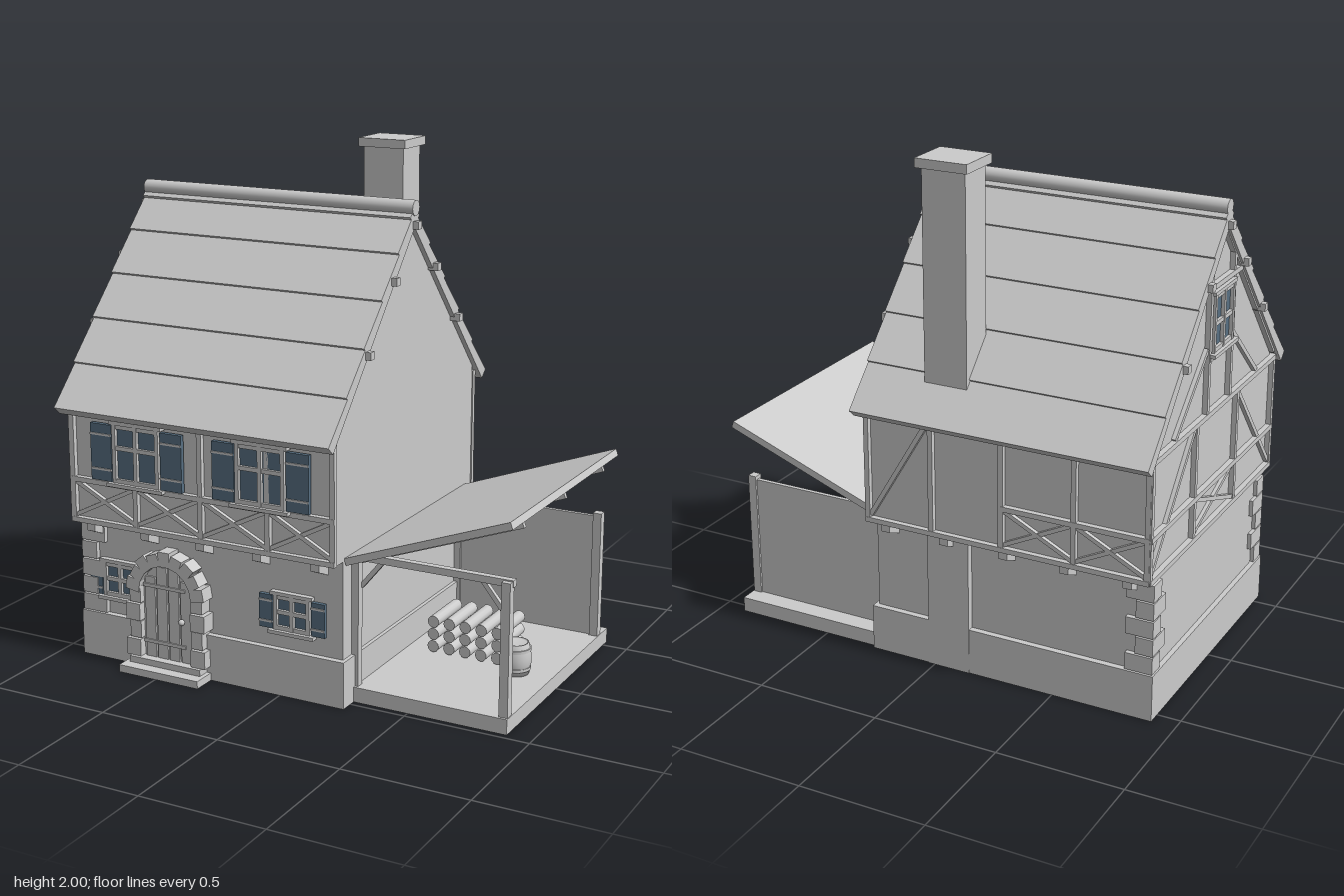
import * as THREE from 'three';

const plaster = new THREE.MeshStandardMaterial({ color: 0xcccccc });
plaster.name = 'pale grey';
const blue = new THREE.MeshStandardMaterial({ color: 0x587083 });
blue.name = 'slate blue';

function add(parent, name, geo, mat = plaster) {
  const m = new THREE.Mesh(geo, mat);
  m.name = name;
  parent.add(m);
  return m;
}
function group(parent, name) {
  const g = new THREE.Group();
  g.name = name;
  parent.add(g);
  return g;
}
// Box given by its limits on each axis
function box(parent, name, x0, x1, y0, y1, z0, z1, mat) {
  const m = add(parent, name, new THREE.BoxGeometry(x1 - x0, y1 - y0, z1 - z0), mat);
  m.position.set((x0 + x1) / 2, (y0 + y1) / 2, (z0 + z1) / 2);
  return m;
}
// Bar between two points in a plane of constant z
function bar(parent, name, x0, y0, x1, y1, w, z0, z1) {
  const m = add(parent, name, new THREE.BoxGeometry(Math.hypot(x1 - x0, y1 - y0), w, z1 - z0));
  m.position.set((x0 + x1) / 2, (y0 + y1) / 2, (z0 + z1) / 2);
  m.rotation.z = Math.atan2(y1 - y0, x1 - x0);
  return m;
}
// Profile of (z, y) points swept along x
function sweep(parent, name, pts, x0, x1) {
  const s = new THREE.Shape(pts.map(p => new THREE.Vector2(p[0], p[1])));
  const geo = new THREE.ExtrudeGeometry(s, { depth: x1 - x0, bevelEnabled: false });
  geo.rotateY(-Math.PI / 2).translate(x1, 0, 0);
  return add(parent, name, geo);
}
// Window with frame, crossbars and optional shutters, facing +z
function makeWindow(parent, cx, y0, y1, half, split, shutter, z) {
  const g = group(parent, 'window');
  const f = 0.016;
  box(g, 'glass', cx - half, cx + half, y0, y1, z, z + 0.008, blue);
  for (const s of [-1, 0, 1]) {
    const x = cx + s * (half - f / 2);
    box(g, 'frameUpright', x - f / 2, x + f / 2, y0, y1, z, z + 0.022);
  }
  for (const y of [y0, split, y1 - f]) box(g, 'frameRail', cx - half, cx + half, y, y + f, z, z + 0.02);
  box(g, 'sill', cx - half - 0.02, cx + half + 0.02, y0 - 0.014, y0, z - 0.01, z + 0.035);
  box(g, 'lintel', cx - half - 0.012, cx + half + 0.012, y1, y1 + 0.014, z - 0.01, z + 0.025);
  if (!shutter) return;
  for (const s of [-1, 1]) {
    const x = cx + s * (half + 0.006 + shutter / 2), w = shutter / 2;
    box(g, 'shutter', x - w, x + w, y0, y1 - 0.005, z, z + 0.018, blue);
    for (const t of [0.2, 0.8]) {
      const y = y0 + (y1 - y0) * t;
      box(g, 'shutterStrap', x - w, x + w, y - 0.004, y + 0.004, z + 0.018, z + 0.022);
    }
  }
}
function cross(g, x0, x1) {
  bar(g, 'crossBrace', x0, 0.595, x1, 0.74, 0.016, 0, 0.014);
  bar(g, 'crossBrace', x0, 0.74, x1, 0.595, 0.016, 0, 0.016);
}
function rail(g, y, x0, x1, h = 0.02) {
  box(g, 'rail', x0, x1, y - h / 2, y + h / 2, 0, 0.022);
}
function post(g, x, y0 = 0.57, y1 = 1.05) {
  box(g, 'post', x - 0.01, x + 0.01, y0, y1, 0, 0.02);
}

export function createModel() {
  const root = new THREE.Group();
  root.name = 'house';

  // Stone base, ground floor and jettied upper floor with gables
  box(root, 'stoneBase', -0.905, 0.275, 0, 0.185, -0.555, 0.555);
  box(root, 'groundFloor', -0.885, 0.26, 0.185, 0.57, -0.53, 0.53);
  sweep(root, 'upperFloor', [[-0.585, 0.57], [0.585, 0.57], [0.585, 1.09], [0, 1.755], [-0.585, 1.09]], -0.885, 0.26);
  for (let i = 0; i < 5; i++) {
    const x = -0.815 + i * 0.249;
    for (const s of [-1, 1])
      sweep(root, 'corbel', [[s * 0.52, 0.57], [s * 0.6, 0.57], [s * 0.6, 0.54], [s * 0.52, 0.505]], x - 0.018, x + 0.018);
  }

  // Corner stones
  for (const s of [-1, 1]) for (let i = 0; i < 5; i++) {
    const y = 0.185 + i * 0.073, a = i % 2 ? 0.07 : 0.11, b = i % 2 ? 0.11 : 0.07;
    const z0 = s * 0.55, z1 = s * (0.55 - b);
    box(root, 'cornerStone', -0.9, -0.9 + a, y + 0.003, y + 0.07, Math.min(z0, z1), Math.max(z0, z1));
  }

  // Roof: stepped courses on each side, drawn down the slope
  const L = 1.02, dz = 0.674 / L, dy = 0.765 / L;
  const at = (s, n) => [s * dz + n * dy, 1.805 - s * dy + n * dz];
  const profile = [at(0, -0.05)];
  for (let i = 0; i < 5; i++) profile.push(at(i * L / 5, -0.009), at((i + 1) * L / 5, 0.002));
  profile.push(at(L, -0.045));
  for (const s of [-1, 1]) sweep(root, 'roofCourses', profile.map(p => [p[0] * s, p[1]]), -0.915, 0.28);
  const ridge = add(root, 'ridgeRoll', new THREE.CylinderGeometry(0.03, 0.03, 1.2, 20));
  ridge.rotation.z = Math.PI / 2;
  ridge.position.set(-0.315, 1.804, 0);
  for (const [z, y] of [[0, 1.74], [0.175, 1.555], [-0.175, 1.555], [0.38, 1.318], [-0.38, 1.318]])
    box(root, 'purlin', -0.935, 0.302, y - 0.015, y + 0.015, z - 0.015, z + 0.015);

  // Chimney
  box(root, 'chimney', -0.15, 0.025, 0, 1.967, -0.558, -0.41);
  box(root, 'chimneyCap', -0.168, 0.04, 1.965, 2, -0.58, -0.395);

  // Front timber frame and windows
  const front = group(root, 'frontTimbers');
  front.position.z = 0.585;
  const xs = [-0.89, -0.602, -0.31, -0.018, 0.255];
  xs.forEach(x => post(front, x));
  for (const y of [0.58, 0.745, 1.04]) rail(front, y, -0.9, 0.265);
  for (let i = 0; i < 4; i++) cross(front, xs[i], xs[i + 1]);
  for (const cx of [-0.587, -0.041]) makeWindow(front, cx, 0.76, 0.99, 0.105, 0.89, 0.095, 0.012);
  for (const cx of [-0.725, 0.05]) makeWindow(root, cx, 0.262, 0.4, 0.078, 0.325, 0.057, 0.528);

  // Back timber frame (local x points to -x)
  const back = group(root, 'backTimbers');
  back.position.z = -0.585;
  back.rotation.y = Math.PI;
  xs.forEach(x => post(back, -x));
  for (const y of [0.58, 1.04]) rail(back, y, -0.265, 0.9);
  rail(back, 0.745, 0.31, 0.9);
  cross(back, 0.31, 0.602);
  cross(back, 0.602, 0.89);
  bar(back, 'brace', -0.245, 0.6, 0.01, 1.03, 0.018, 0, 0.016);

  // Timber frame and loft window on the end gable (local x points to +z)
  const gable = group(root, 'gableTimbers');
  gable.position.x = -0.885;
  gable.rotation.y = -Math.PI / 2;
  for (const x of [-0.593, -0.2, 0.2, 0.593]) post(gable, x);
  for (const y of [0.58, 0.745, 1.04]) rail(gable, y, -0.6, 0.6);
  cross(gable, -0.2, 0.2);
  for (const s of [-1, 1]) {
    bar(gable, 'brace', s * 0.585, 0.6, s * 0.21, 1.03, 0.018, 0, 0.016);
    bar(gable, 'rakeBeam', s * 0.59, 1.07, 0, 1.74, 0.025, 0, 0.02);
    post(gable, s * 0.11, 1.04, 1.61);
    bar(gable, 'brace', s * 0.4, 1.05, s * 0.12, 1.3, 0.018, 0, 0.016);
  }
  rail(gable, 1.53, -0.18, 0.18);
  rail(gable, 1.26, -0.11, 0.11);
  makeWindow(gable, 0, 1.28, 1.5, 0.095, 1.38, 0, 0.006);

  // Front door with arched stone surround and steps
  const door = group(root, 'door');
  door.position.x = -0.487;
  const R = 0.12, cy = 0.325;
  const arch = new THREE.Shape();
  arch.moveTo(-R, 0.05);
  arch.lineTo(R, 0.05);
  arch.lineTo(R, cy);
  arch.absarc(0, cy, R, 0, Math.PI, false);
  add(door, 'doorLeaf', new THREE.ExtrudeGeometry(arch, { depth: 0.04, bevelEnabled: false })).position.z = 0.522;
  for (let i = 0; i < 4; i++) {
    const x = -0.081 + i * 0.054;
    box(door, 'plank', x - 0.023, x + 0.023, 0.055, cy + (i % 3 ? 0.105 : 0.06), 0.56, 0.57);
  }
  for (const y of [0.12, 0.35]) box(door, 'hinge', -0.11, 0.08, y - 0.007, y + 0.007, 0.57, 0.575);
  const knob = add(door, 'knob', new THREE.SphereGeometry(0.013, 12, 8));
  knob.position.set(0.067, 0.225, 0.58);
  for (const s of [-1, 1]) for (let i = 0; i < 4; i++) {
    const y = 0.055 + i * 0.073, w = i % 2 ? 0.05 : 0.064;
    const c = s * (0.115 + w / 2);
    box(door, 'jambStone', c - w / 2, c + w / 2, y + 0.002, y + 0.071, 0.525, i % 2 ? 0.588 : 0.595);
  }
  for (let i = 0; i < 9; i++) {
    const a = (i + 0.5) * Math.PI / 9, r = i % 2 ? 0.143 : 0.147;
    const m = add(door, 'archStone', new THREE.BoxGeometry(i % 2 ? 0.052 : 0.06, 0.05, 0.068));
    m.position.set(Math.cos(a) * r, cy + Math.sin(a) * r, 0.56);
    m.rotation.z = a;
  }
  box(door, 'lowerStep', -0.18, 0.18, 0, 0.03, 0.5, 0.652);
  box(door, 'upperStep', -0.162, 0.162, 0.03, 0.055, 0.5, 0.605);

  // Open lean-to: floor, posts, back wall and braces
  const shed = group(root, 'leanTo');
  box(shed, 'floor', 0.27, 0.9, 0, 0.06, -0.54, 0.475);
  for (const z of [0.447, -0.452]) {
    box(shed, 'cornerPost', 0.862, 0.897, 0.06, 0.575, z - 0.018, z + 0.018);
    box(shed, 'wallPost', 0.26, 0.288, 0.06, 0.565, z - 0.016, z + 0.016);
  }
  box(shed, 'backWall', 0.26, 0.865, 0.06, 0.56, -0.462, -0.445);
  box(shed, 'beam', 0.26, 0.9, 0.553, 0.58, 0.415, 0.443);
  bar(shed, 'brace', 0.285, 0.45, 0.375, 0.56, 0.018, 0.42, 0.438);
  bar(shed, 'brace', 0.865, 0.45, 0.775, 0.56, 0.018, 0.42, 0.438);

  // Lean-to roof rising outwards, with rafters
  bar(shed, 'leanToRoof', 0.262, 0.567, 0.92, 0.81, 0.028, -0.525, 0.52);
  for (const z of [-0.39, 0, 0.39]) bar(shed, 'rafter', 0.262, 0.54, 0.912, 0.78, 0.03, z - 0.009, z + 0.009);

  // Firewood
  for (let row = 0; row < 3; row++) for (let i = 0; i < 5; i++) {
    const log = add(shed, 'log', new THREE.CylinderGeometry(0.024, 0.024, 0.215, 12));
    log.rotation.x = Math.PI / 2;
    log.position.set(0.392 + i * 0.068, 0.088 + row * 0.051, -0.075);
  }

  // Barrel
  const barrel = group(shed, 'barrel');
  barrel.position.set(0.752, 0.06, 0.055);
  const pts = [[0, 0], [0.052, 0], [0.06, 0.04], [0.061, 0.065], [0.058, 0.095], [0.05, 0.125], [0.045, 0.125], [0.045, 0.118], [0, 0.118]];
  add(barrel, 'staves', new THREE.LatheGeometry(pts.map(p => new THREE.Vector2(p[0], p[1])), 20));
  for (const [y, r] of [[0.025, 0.059], [0.1, 0.059]])
    add(barrel, 'hoop', new THREE.CylinderGeometry(r + 0.001, r + 0.001, 0.012, 20)).position.y = y;

  return root;
}
